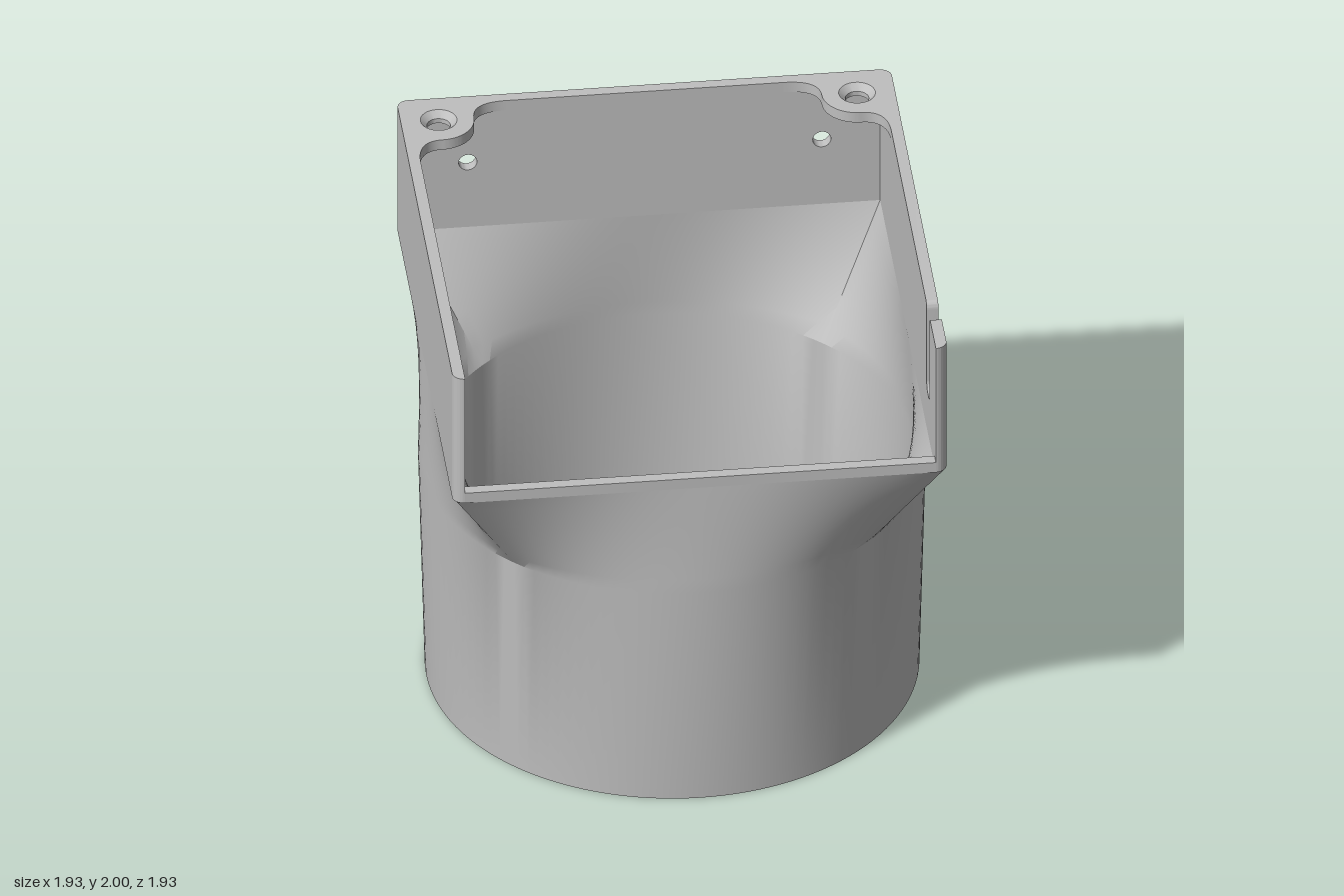
import * as THREE from 'three';
import { toCreasedNormals } from 'three/addons/utils/BufferGeometryUtils.js';

const SEG = 128, WALL = 0.045, IN = 0.9, OUT = IN + WALL;
const TUBE_TOP = 0.96, BOX_BASE = 1.43, SILL = 1.475, TOP = 2;

// Point on a circle of radius r, or on a square of half-width h with softened corners
const circlePoint = (a, r) => [r * Math.sin(a), r * Math.cos(a)];
function squarePoint(a, h, round) {
  const s = Math.sin(a), c = Math.cos(a), k = h / Math.max(Math.abs(s), Math.abs(c));
  const p = [s * k, c * k];
  const core = p.map(v => THREE.MathUtils.clamp(v, round - h, h - round));
  const d = [p[0] - core[0], p[1] - core[1]];
  const len = Math.hypot(...d) || 1;
  return core.map((v, i) => v + d[i] * round / len);
}

// Closed skin: up the outside from round to square, then back down the inside
function ductGeometry() {
  const rings = [];
  const ring = (y, r, h, round, t) => rings.push(a => {
    const p = circlePoint(a, r), q = squarePoint(a, h, round);
    return [p[0] + (q[0] - p[0]) * t, y, p[1] + (q[1] - p[1]) * t];
  });
  const steps = 8, rise = BOX_BASE - TUBE_TOP;
  ring(0, 0.94, OUT, WALL, 0);
  for (let i = 0; i <= steps; i++) ring(TUBE_TOP + rise * i / steps, 0.965, OUT, WALL, i / steps);
  for (let i = steps; i >= 0; i--) ring(TUBE_TOP + rise * i / steps, 0.92, IN, 0, i / steps);
  ring(0, 0.895, IN, 0, 0);

  const pos = [], index = [];
  for (const f of rings) for (let j = 0; j < SEG; j++) pos.push(...f(j / SEG * Math.PI * 2));
  for (let i = 0; i < rings.length; i++) for (let j = 0; j < SEG; j++) {
    const n = ((i + 1) % rings.length) * SEG, k = (j + 1) % SEG;
    const a = i * SEG + j, b = i * SEG + k, c = n + k, d = n + j;
    index.push(a, b, c, a, c, d);
  }
  const g = new THREE.BufferGeometry();
  g.setAttribute('position', new THREE.Float32BufferAttribute(pos, 3));
  g.setIndex(index);
  return g;
}

const extrude = (shape, depth) =>
  new THREE.ExtrudeGeometry(shape, { depth, bevelEnabled: false, curveSegments: 16 });

function holeAt(x, y, r) {
  const p = new THREE.Path();
  p.absarc(x, y, r, 0, Math.PI * 2, true);
  return p;
}

// Upright wall outline, with an optional open slot in its top edge
function wallShape(top, slotAt) {
  const s = new THREE.Shape();
  s.moveTo(-IN, BOX_BASE);
  s.lineTo(IN, BOX_BASE);
  s.lineTo(IN, top);
  if (slotAt !== undefined) {
    const w = 0.048, r = 0.035, b = 1.612;
    s.lineTo(slotAt + w + 0.025, top);
    s.quadraticCurveTo(slotAt + w, top, slotAt + w, top - 0.035);
    s.lineTo(slotAt + w, b + r);
    s.quadraticCurveTo(slotAt + w, b, slotAt + w - r, b);
    s.lineTo(slotAt - w + r, b);
    s.quadraticCurveTo(slotAt - w, b, slotAt - w, b + r);
    s.lineTo(slotAt - w, top - 0.035);
    s.quadraticCurveTo(slotAt - w, top, slotAt - w - 0.025, top);
  }
  s.lineTo(-IN, top);
  s.closePath();
  return s;
}

// Screw tab outline for one back corner; side is +1 or -1
function tabShape(side) {
  const s = new THREE.Shape(), c = 0.8, r = 0.135;
  s.moveTo(side * IN, IN);
  s.lineTo(side * IN, 0.53);
  s.quadraticCurveTo(side * IN, c - r, side * c, c - r);
  s.absarc(side * c, c, r, -Math.PI / 2, side > 0 ? -Math.PI : 0, side > 0);
  s.quadraticCurveTo(side * (c - r), IN, side * 0.53, IN);
  s.closePath();
  s.holes.push(holeAt(side * c, c, 0.07));
  return s;
}

export function createModel() {
  const group = new THREE.Group();
  const grey = new THREE.MeshStandardMaterial({ color: 0xbfbfbf });
  grey.name = 'grey plastic';

  const add = (name, geometry, crease = 0.5) => {
    const mesh = new THREE.Mesh(toCreasedNormals(geometry, crease), grey);
    mesh.name = name;
    group.add(mesh);
    return mesh;
  };

  // Round tube flowing into the square collar
  add('ductBody', ductGeometry());

  // Box walls, each drawn facing front and turned into place
  const wall = (name, shape, turn) =>
    add(name, extrude(shape, WALL).translate(0, 0, IN).rotateY(turn));
  wall('frontSill', wallShape(SILL), 0);
  wall('leftWall', wallShape(TOP, -0.688), Math.PI / 2);
  wall('rightWall', wallShape(TOP), -Math.PI / 2);
  const back = wallShape(TOP);
  for (const side of [-1, 1]) back.holes.push(holeAt(side * 0.677, 1.727, 0.035));
  wall('backWall', back, Math.PI);

  // Rounded corner posts
  const quarter = new THREE.Shape();
  quarter.moveTo(0, 0);
  quarter.lineTo(WALL, 0);
  quarter.absarc(0, 0, WALL, 0, Math.PI / 2, false);
  quarter.closePath();
  for (let i = 0; i < 4; i++) {
    const post = extrude(quarter, TOP - BOX_BASE).rotateX(-Math.PI / 2);
    post.translate(IN, BOX_BASE, -IN).rotateY(i * Math.PI / 2);
    add('cornerPost', post);
  }

  // Screw tabs with countersunk holes
  const thick = 0.045;
  for (const side of [-1, 1]) {
    add('screwTab', extrude(tabShape(side), thick).rotateX(-Math.PI / 2).translate(0, TOP - thick, 0));
    const profile = [[0.07, -thick], [0.045, -thick], [0.045, -0.025], [0.07, 0]];
    const sink = new THREE.LatheGeometry(profile.map(p => new THREE.Vector2(...p)).reverse(), 32);
    const mesh = add('countersink', sink);
    mesh.position.set(side * 0.8, TOP, -0.8);
  }
  return group;
}
